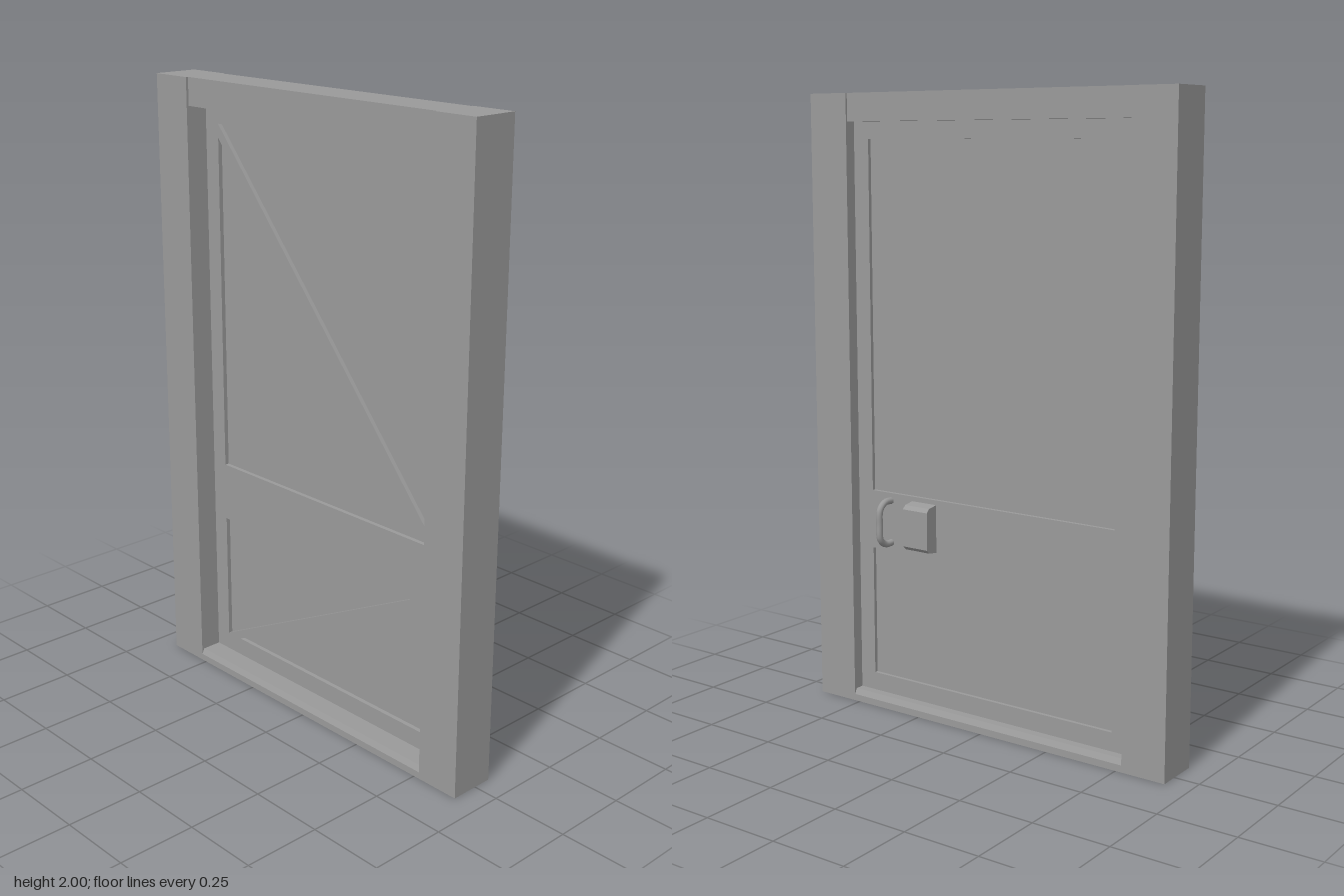
import * as THREE from 'three';

const material = new THREE.MeshStandardMaterial({ color: 0x9a9a9a });

function add(group, name, geometry, x = 0, y = 0, z = 0) {
  const mesh = new THREE.Mesh(geometry, material);
  mesh.name = name;
  mesh.position.set(x, y, z);
  group.add(mesh);
}

// Box given by its limits on each axis
function addBox(group, name, [x0, x1], [y0, y1], [z0, z1]) {
  add(group, name, new THREE.BoxGeometry(x1 - x0, y1 - y0, z1 - z0),
    (x0 + x1) / 2, (y0 + y1) / 2, (z0 + z1) / 2);
}

const polygon = (points) => points.map(([x, y]) => new THREE.Vector2(x, y));

// Profile in (z, y), extruded along x
function addProfile(group, name, points, x0, x1) {
  const shape = new THREE.Shape(polygon(points.map(([z, y]) => [-z, y])));
  const geometry = new THREE.ExtrudeGeometry(shape, { depth: x1 - x0, bevelEnabled: false });
  geometry.rotateY(Math.PI / 2);
  add(group, name, geometry, x0);
}

// Face layer of the door with cut-out panels
function addFacing(group, name, holes, z0, z1) {
  const shape = new THREE.Shape(polygon([[-0.52, 0.03], [0.52, 0.03], [0.52, 1.912], [-0.52, 1.912]]));
  for (const hole of holes) shape.holes.push(new THREE.Path(polygon(hole)));
  add(group, name, new THREE.ExtrudeGeometry(shape, { depth: z1 - z0, bevelEnabled: false }), 0, 0, z0);
}

export function createModel() {
  const model = new THREE.Group();
  model.name = 'door';

  // Frame
  const frame = new THREE.Group();
  frame.name = 'frame';
  model.add(frame);
  addBox(frame, 'rightPost', [-0.667, -0.52], [0, 2], [-0.06, 0.09]);
  addBox(frame, 'leftPost', [0.52, 0.667], [0, 2], [-0.06, 0.09]);
  addBox(frame, 'header', [-0.52, 0.52], [1.912, 2], [-0.054, 0.082]);
  addProfile(frame, 'threshold',
    [[0.09, 0], [0.09, 0.022], [0.081, 0.04], [-0.051, 0.04], [-0.06, 0.022], [-0.06, 0]], -0.52, 0.52);

  // Door leaf: thin core between a braced front and a plain panelled back
  const leaf = new THREE.Group();
  leaf.name = 'leaf';
  model.add(leaf);
  const w = 0.462;
  addBox(leaf, 'panels', [-0.5, 0.5], [0.05, 1.9], [-0.01, 0.001]);
  addFacing(leaf, 'bracedFront', [
    [[-w, 1.857], [w, 1.857], [w, 0.77]],
    [[-w, 1.813], [-w, 0.725], [w, 0.725]],
    [[-w, 0.531], [0.4, 0.531], [-w, 0.1]],
    [[-0.4, 0.1], [w, 0.1], [w, 0.531]],
  ], 0.001, 0.015);
  addFacing(leaf, 'panelledBack', [[0.725, 1.857], [0.1, 0.531]].map(
    ([y0, y1]) => [[-w, y0], [-w, y1], [w, y1], [w, y0]]), -0.022, -0.01);

  // Lock box with sloped top and bottom
  addProfile(model, 'lockBox',
    [[-0.02, 0.553], [-0.02, 0.71], [-0.058, 0.704], [-0.07, 0.692], [-0.07, 0.57], [-0.058, 0.558]], 0.2, 0.297);

  // Pull handle
  const path = new THREE.CatmullRomCurve3([
    [0.56, -0.018], [0.561, -0.055], [0.582, -0.079], [0.63, -0.082],
    [0.678, -0.079], [0.699, -0.055], [0.70, -0.018],
  ].map(([y, z]) => new THREE.Vector3(0.385, y, z)));
  add(model, 'handle', new THREE.TubeGeometry(path, 24, 0.011, 10));

  return model;
}
